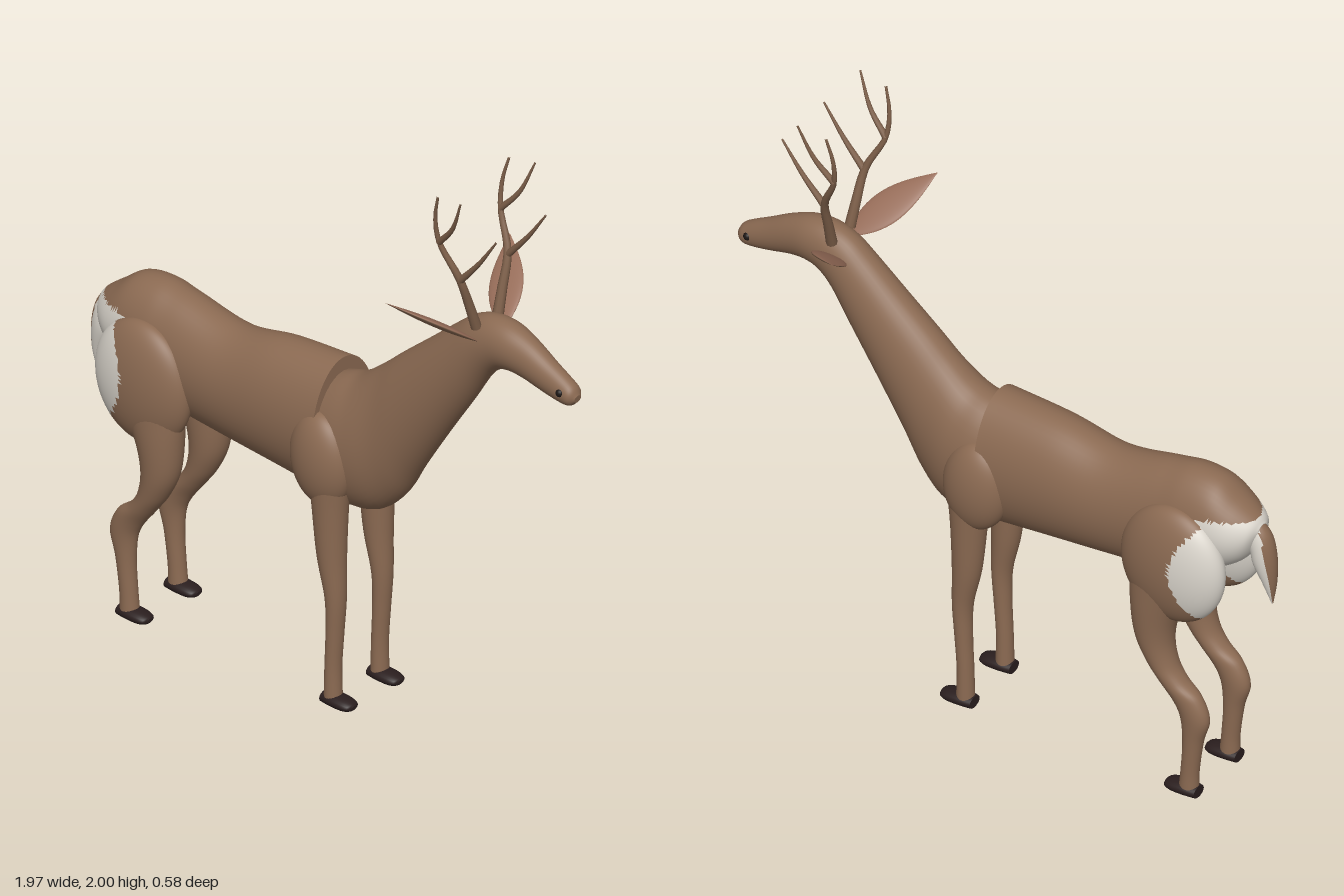
import * as THREE from 'three';

const material = (name, color) => Object.assign(new THREE.MeshStandardMaterial({ color }), { name });

// Tube through sections [topX, topY, bottomX, bottomY, halfWidth, z = 0], smoothed and capped.
function loft(sections, steps = 6, sides = 32) {
  const curve = (f) => new THREE.CatmullRomCurve3(sections.map(f), false, 'catmullrom', 0.5);
  const tops = curve((s) => new THREE.Vector3(s[0], s[1], s[5] ?? 0));
  const bottoms = curve((s) => new THREE.Vector3(s[2], s[3], s[5] ?? 0));
  const widths = curve((s) => new THREE.Vector3(s[4], 0, 0));
  const rows = (sections.length - 1) * steps;
  const pos = [], index = [];
  for (let i = 0; i <= rows; i++) {
    const t = i / rows, top = tops.getPoint(t), bottom = bottoms.getPoint(t);
    const mid = top.clone().add(bottom).multiplyScalar(0.5), up = top.sub(mid);
    const w = widths.getPoint(t).x;
    for (let j = 0; j < sides; j++) {
      const a = (j / sides) * Math.PI * 2, c = Math.cos(a);
      pos.push(mid.x + up.x * c, mid.y + up.y * c, mid.z + w * Math.sin(a));
    }
  }
  for (let i = 0; i < rows; i++) {
    for (let j = 0; j < sides; j++) {
      const k = (j + 1) % sides, a = i * sides + j, b = i * sides + k;
      index.push(a, b, a + sides, b, b + sides, a + sides);
    }
  }
  // Flat end caps with their own vertices, so the rim stays sharp
  for (const row of [0, rows]) {
    const start = pos.length / 3;
    pos.push(...pos.slice(row * sides * 3, (row + 1) * sides * 3));
    for (let j = 1; j < sides - 1; j++) {
      if (row) index.push(start, start + j, start + j + 1);
      else index.push(start, start + j + 1, start + j);
    }
  }
  const geo = new THREE.BufferGeometry();
  geo.setAttribute('position', new THREE.Float32BufferAttribute(pos, 3));
  geo.setIndex(index);
  geo.computeVertexNormals();
  return geo;
}

// Sorts faces into two material groups: those passing the test use the second material.
function paint(geo, test) {
  const lists = [[], []], idx = geo.index.array, p = geo.attributes.position;
  const tri = new THREE.Triangle(), mid = new THREE.Vector3(), n = new THREE.Vector3();
  for (let i = 0; i < idx.length; i += 3) {
    const face = [idx[i], idx[i + 1], idx[i + 2]];
    tri.setFromAttributeAndIndices(p, ...face);
    tri.getMidpoint(mid);
    tri.getNormal(n);
    lists[test(mid, n) ? 1 : 0].push(...face);
  }
  geo.setIndex([...lists[0], ...lists[1]]);
  geo.clearGroups();
  geo.addGroup(0, lists[0].length, 0);
  geo.addGroup(lists[0].length, lists[1].length, 1);
  return geo;
}

function ellipsoid(x, y, z, rx, ry, rz, tilt = 0) {
  return new THREE.SphereGeometry(1, 64, 48).scale(rx, ry, rz).rotateZ(tilt).translate(x, y, z);
}

// Tapered rod along a smooth path
function rod(points, r0, r1) {
  const curve = new THREE.CatmullRomCurve3(points.map((q) => new THREE.Vector3(...q)));
  const rows = 16, sides = 10;
  const geo = new THREE.TubeGeometry(curve, rows, 1, sides);
  const p = geo.attributes.position, v = new THREE.Vector3();
  for (let i = 0; i < p.count; i++) {
    const t = Math.floor(i / (sides + 1)) / rows, c = curve.getPointAt(t);
    v.fromBufferAttribute(p, i).sub(c).multiplyScalar(r0 + (r1 - r0) * t).add(c);
    p.setXYZ(i, v.x, v.y, v.z);
  }
  return geo;
}

// Leaf-shaped ear lying along an axis from the head
function earGeometry(side) {
  const geo = new THREE.SphereGeometry(1, 32, 32), p = geo.attributes.position;
  for (let i = 0; i < p.count; i++) {
    const t = (p.getY(i) + 1) / 2, a = Math.atan2(p.getZ(i), p.getX(i));
    const r = Math.sin(Math.PI * Math.pow(t, 0.85));
    p.setXYZ(i, Math.cos(a) * r * 0.058, t, Math.sin(a) * r * 0.011);
  }
  paint(geo, (m) => m.z * side < 0);
  const axis = new THREE.Vector3(-0.18, 0.17, 0.235 * side);
  const width = new THREE.Vector3(0.837, 0.334, 0.432 * side);
  const normal = width.clone().cross(axis).normalize();
  geo.applyMatrix4(new THREE.Matrix4().makeBasis(width, axis, normal).setPosition(0.632, 1.455, 0.055 * side));
  geo.computeVertexNormals();
  return geo;
}

export function createModel() {
  const group = new THREE.Group();
  const brown = material('brown coat', 0x8b6a52);
  const white = material('white fur', 0xd8d3ca);
  const pink = material('inner ear', 0x966c58);
  const horn = material('antler', 0x7d5f49);
  const dark = material('hoof', 0x2a1e1e);
  const black = material('nostril', 0x1c1614);
  const add = (name, geo, mat) => {
    const mesh = new THREE.Mesh(geo, mat);
    mesh.name = name;
    group.add(mesh);
  };

  // Torso with a white patch on the rump
  const torso = loft([
    [-0.94, 1.035, -0.938, 1.0, 0.025], [-0.92, 1.06, -0.905, 0.92, 0.07],
    [-0.86, 1.105, -0.86, 0.87, 0.105], [-0.79, 1.153, -0.78, 0.82, 0.122],
    [-0.7, 1.165, -0.68, 0.77, 0.13], [-0.6, 1.147, -0.6, 0.745, 0.13],
    [-0.4, 1.108, -0.4, 0.725, 0.135], [-0.2, 1.14, -0.2, 0.705, 0.143],
    [0.03, 1.155, 0.03, 0.68, 0.147],
  ], 8, 48);
  add('torso', paint(torso, (m) => m.x < -0.76 && m.y < 1.055), [brown, white]);

  // Chest, neck and head
  add('neckAndHead', loft([
    [-0.05, 1.08, -0.02, 0.69, 0.13], [0.05, 1.115, 0.1, 0.671, 0.14],
    [0.12, 1.14, 0.2, 0.692, 0.135], [0.2, 1.2, 0.28, 0.765, 0.118],
    [0.28, 1.27, 0.345, 0.875, 0.108], [0.4, 1.37, 0.45, 1.04, 0.095],
    [0.5, 1.455, 0.55, 1.19, 0.083], [0.57, 1.508, 0.62, 1.3, 0.075],
    [0.64, 1.533, 0.67, 1.352, 0.07], [0.72, 1.53, 0.72, 1.37, 0.065],
    [0.8, 1.5, 0.78, 1.365, 0.054], [0.88, 1.455, 0.86, 1.345, 0.044],
    [0.94, 1.422, 0.92, 1.333, 0.038], [0.972, 1.4, 0.96, 1.333, 0.033],
    [0.986, 1.375, 0.982, 1.35, 0.015],
  ], 6, 40), brown);

  // Tail, brown on its outer face
  const tail = loft([
    [-0.87, 0.98, -0.92, 1.055, 0.03], [-0.9, 0.93, -0.965, 1.0, 0.04],
    [-0.91, 0.89, -0.985, 0.92, 0.04], [-0.945, 0.82, -0.987, 0.83, 0.025],
    [-0.972, 0.75, -0.977, 0.75, 0.003],
  ]);
  add('tail', paint(tail, (m, n) => n.x * 0.95 - n.y * 0.3 < -0.6), [white, brown]);

  for (const s of [1, -1]) {
    const side = s > 0 ? 'Right' : 'Left';

    // Hind leg with a white patch behind the thigh
    const thigh = ellipsoid(-0.685, 0.855, 0.112 * s, 0.185, 0.21, 0.082, 0.1);
    const isWhite = (m) => m.x < -0.715 - 2.9 * (m.y - 0.87) ** 2 && m.y > 0.7;
    add('thigh' + side, paint(thigh, isWhite), [brown, white]);
    const hz = 0.112 * s;
    add('hindLeg' + side, loft([
      [-0.53, 0.84, -0.78, 0.79, 0.07, hz], [-0.535, 0.7, -0.705, 0.66, 0.068, hz],
      [-0.55, 0.57, -0.682, 0.56, 0.06, hz], [-0.59, 0.48, -0.695, 0.475, 0.051, hz],
      [-0.64, 0.41, -0.73, 0.42, 0.044, hz], [-0.69, 0.345, -0.785, 0.375, 0.038, hz],
      [-0.715, 0.29, -0.815, 0.3, 0.035, hz], [-0.723, 0.2, -0.793, 0.215, 0.031, hz],
      [-0.717, 0.1, -0.777, 0.1, 0.029, hz], [-0.71, 0.03, -0.775, 0.03, 0.03, hz],
    ]), brown);

    // Front leg
    add('shoulder' + side, ellipsoid(0.04, 0.852, 0.11 * s, 0.115, 0.16, 0.074, 0.08), brown);
    const fz = 0.108 * s;
    add('frontLeg' + side, loft([
      [0.14, 0.8, 0.0, 0.8, 0.06, fz], [0.13, 0.68, 0.012, 0.68, 0.054, fz],
      [0.125, 0.52, 0.03, 0.52, 0.046, fz], [0.126, 0.38, 0.06, 0.38, 0.036, fz],
      [0.118, 0.26, 0.062, 0.26, 0.031, fz], [0.11, 0.14, 0.057, 0.14, 0.029, fz],
      [0.112, 0.03, 0.054, 0.03, 0.03, fz],
    ]), brown);

    // Hooves
    for (const [name, x, z] of [['frontHoof', 0.05, fz], ['hindHoof', -0.778, hz]]) {
      add(name + side, loft([
        [x, 0.042, x, 0.003, 0.028, z], [x + 0.04, 0.046, x + 0.04, 0.002, 0.035, z],
        [x + 0.085, 0.042, x + 0.085, 0.002, 0.034, z],
        [x + 0.11, 0.034, x + 0.11, 0.008, 0.026, z], [x + 0.118, 0.027, x + 0.118, 0.014, 0.01, z],
      ], 4, 24), dark);
    }

    // Ear, antler tines and nostril
    add('ear' + side, earGeometry(s), [brown, pink]);
    const tines = [
      [[[0.615, 1.5, 0.05], [0.61, 1.58, 0.075], [0.6, 1.69, 0.112], [0.545, 1.81, 0.142], [0.54, 1.9, 0.155], [0.56, 1.985, 0.165]], 0.018, 0.004],
      [[[0.6, 1.68, 0.11], [0.68, 1.77, 0.113], [0.755, 1.875, 0.115]], 0.012, 0.003],
      [[[0.545, 1.81, 0.142], [0.61, 1.885, 0.155], [0.66, 2.0, 0.173]], 0.011, 0.003],
    ];
    tines.forEach(([pts, r0, r1], i) => {
      add('antler' + side + (i + 1), rod(pts.map(([x, y, z]) => [x, y, z * s]), r0, r1), horn);
    });
    add('nostril' + side, new THREE.SphereGeometry(0.014, 16, 12).translate(0.938, 1.38, 0.03 * s), black);
  }
  return group;
}
